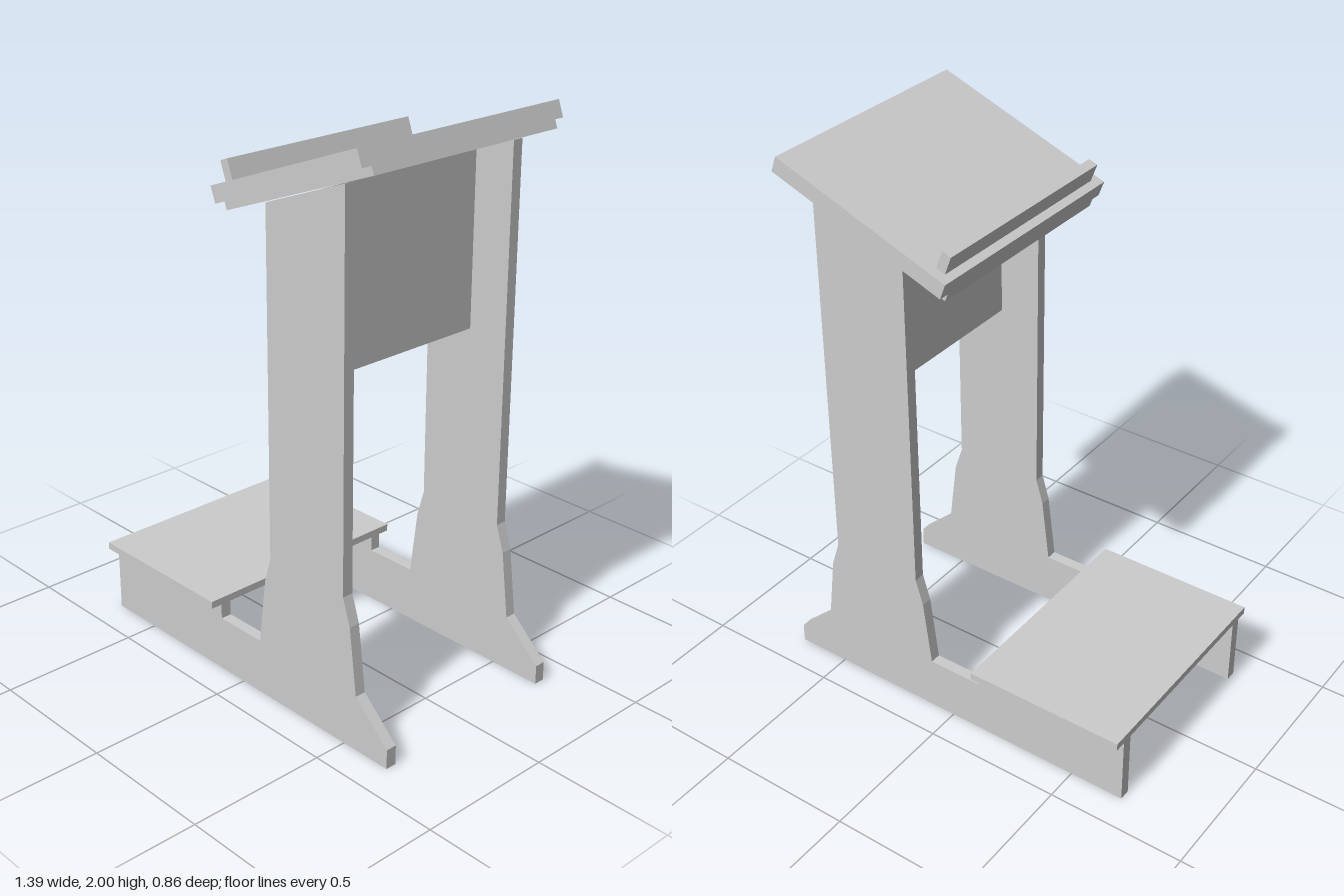
import * as THREE from 'three';

const material = new THREE.MeshStandardMaterial({ color: 0xcccccc, flatShading: true });

// Extrude an x-y outline along z, centred on the given z
function slab(name, points, depth, z = 0) {
  const shape = new THREE.Shape(points.map(([x, y]) => new THREE.Vector2(x, y)));
  const geometry = new THREE.ExtrudeGeometry(shape, { depth, bevelEnabled: false });
  geometry.translate(0, 0, z - depth / 2);
  const mesh = new THREE.Mesh(geometry, material);
  mesh.name = name;
  return mesh;
}

const rect = (x0, y0, x1, y1) => [[x0, y0], [x1, y0], [x1, y1], [x0, y1]];

export function createModel() {
  const model = new THREE.Group();
  model.name = 'kneelerDesk';

  // Underside of the sloping desk
  const slope = 0.375;
  const under = (x) => 1.677 + slope * (x + 0.02);

  // Two upright sides with a long foot
  const profile = [
    [-0.7, 0], [0.695, 0], [0.695, 0.07], [0.553, 0.2], [0.523, 0.44],
    [0.492, 0.535], [0.492, under(0.492)], [0.148, under(0.148)], [0.148, 0.535],
    [0.12, 0.44], [0.09, 0.2], [-0.111, 0.2], [-0.111, 0.254], [-0.7, 0.254],
  ];
  for (const side of [1, -1]) {
    model.add(slab(side > 0 ? 'leftSide' : 'rightSide', profile, 0.04, side * 0.36));
  }

  // Kneeling board
  model.add(slab('kneelingBoard', rect(-0.7, 0.254, -0.111, 0.28), 0.844));

  // Upright panel joining the sides below the desk
  model.add(slab('crossPanel', [
    [0.301, 1.205], [0.339, 1.205], [0.339, under(0.339)], [0.301, under(0.301)],
  ], 0.68));

  // Sloping desk: top board, narrower backing board and book ledge
  const desk = new THREE.Group();
  desk.name = 'desk';
  desk.add(
    slab('deskTop', rect(0, -0.057, 0.682, 0), 0.856),
    slab('deskBacking', rect(0, -0.085, 0.682, -0.057), 0.782),
    slab('bookLedge', rect(0.03, 0, 0.064, 0.067), 0.782),
  );
  desk.position.set(-0.05, 1.76, 0);
  desk.rotation.z = Math.atan(slope);
  model.add(desk);

  return model;
}
